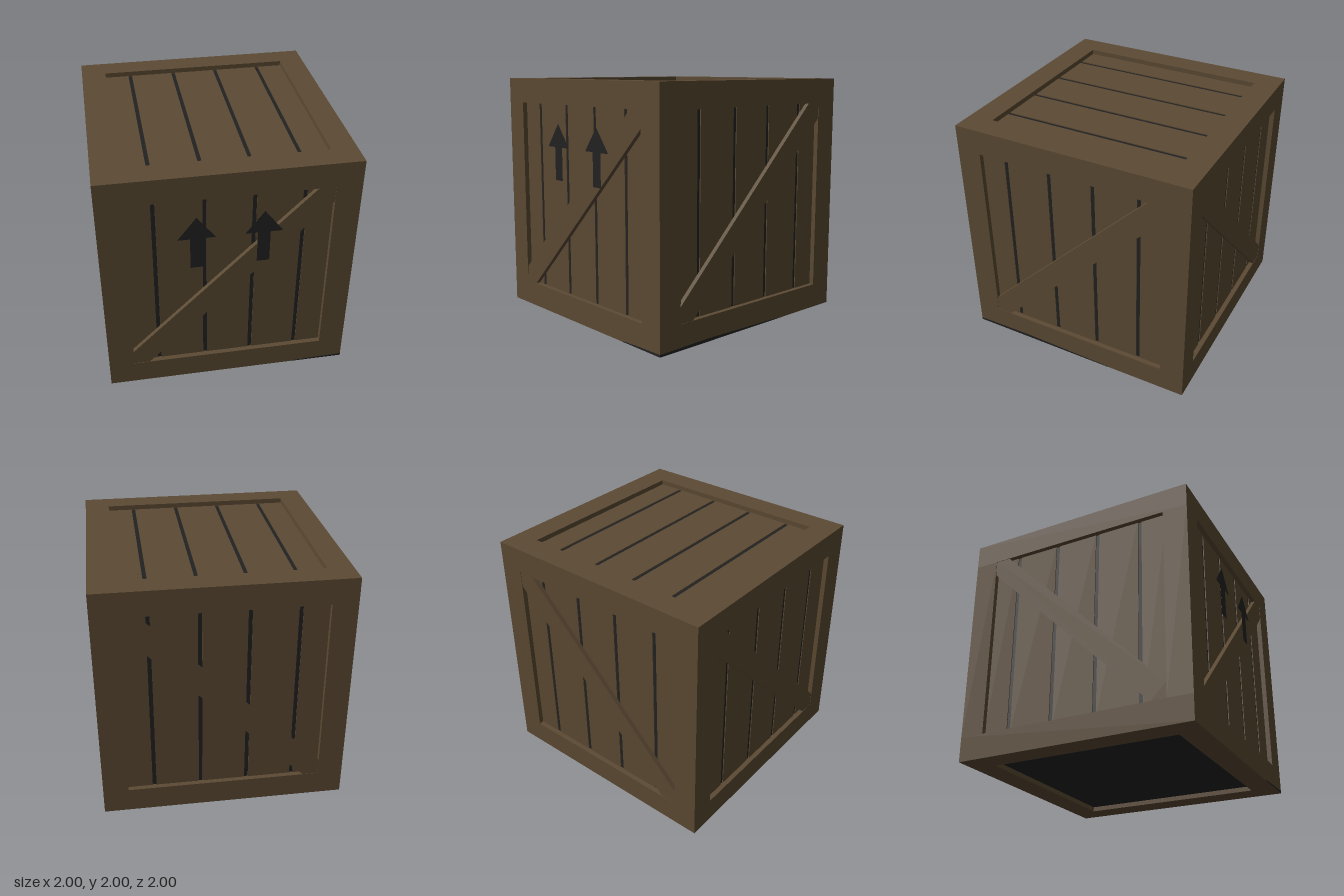
import * as THREE from 'three';

const wood = new THREE.MeshStandardMaterial({ color: 0x5c4a33 });
wood.name = 'brown wood';
const dark = new THREE.MeshStandardMaterial({ color: 0x222222, side: THREE.DoubleSide });
dark.name = 'dark paint';

const INNER = 0.795;   // half width of the opening inside the frame
const PANEL = 0.96;    // distance of the slat surface from the centre
const CORE = 0.953;    // distance of the dark core surface

function add(parent, name, geometry, material, x = 0, y = 0, z = 0) {
  const mesh = new THREE.Mesh(geometry, material);
  mesh.name = name;
  mesh.position.set(x, y, z);
  parent.add(mesh);
  return mesh;
}

function polygon(points) {
  return new THREE.Shape(points.map(([x, y]) => new THREE.Vector2(x, y)));
}

// Five upright slats separated by narrow gaps
function addSlats(face) {
  const gaps = [-0.577, -0.192, 0.188, 0.573];
  const half = 0.016;
  const edges = [-INNER - 0.02, ...gaps.flatMap((g) => [g - half, g + half]), INNER + 0.02];
  for (let i = 0; i < edges.length; i += 2) {
    const width = edges[i + 1] - edges[i];
    const geometry = new THREE.BoxGeometry(width, 2 * INNER + 0.04, PANEL - CORE);
    add(face, 'slat', geometry, wood, (edges[i] + edges[i + 1]) / 2, 0, (PANEL + CORE) / 2);
  }
}

// Diagonal brace trimmed to the opening; side = -1 leans it the other way
function addBrace(face, side) {
  const a = INNER, b = INNER - 0.13;
  const points = [[-a, -a], [-b, -a], [a, b], [a, a], [b, a], [-a, -b]];
  const shape = polygon(points.map(([x, y]) => [x * side, y]));
  const geometry = new THREE.ExtrudeGeometry(shape, { depth: 0.037, bevelEnabled: false });
  add(face, 'brace', geometry, wood, 0, 0, PANEL);
}

// Square ring of beams, lying flat
function ringGeometry() {
  const shape = polygon([[-1, -1], [1, -1], [1, 1], [-1, 1]]);
  const i = INNER;
  shape.holes.push(polygon([[-i, -i], [-i, i], [i, i], [i, -i]]));
  const geometry = new THREE.ExtrudeGeometry(shape, { depth: 1 - INNER, bevelEnabled: false });
  return geometry.rotateX(-Math.PI / 2);
}

export function createModel() {
  const crate = new THREE.Group();
  crate.name = 'crate';
  const body = new THREE.Group();
  body.name = 'body';
  body.position.y = 1;
  crate.add(body);

  // Dark core seen through the gaps and from below
  add(body, 'core', new THREE.BoxGeometry(2 * CORE, 1.913, 2 * CORE), dark, 0, -0.0035, 0);

  // Frame: top and bottom rings with four corner posts
  const ring = ringGeometry();
  add(body, 'bottomFrame', ring, wood, 0, -1, 0);
  add(body, 'topFrame', ring, wood, 0, INNER, 0);
  const thick = 1 - INNER;
  const post = new THREE.BoxGeometry(thick, 2 * INNER, thick);
  for (const x of [-1, 1]) {
    for (const z of [-1, 1]) {
      add(body, 'cornerPost', post, wood, x * (1 - thick / 2), 0, z * (1 - thick / 2));
    }
  }

  // Four slatted sides with braces
  const sides = [['front', 0, 1], ['right', 1, 1], ['back', 2, -1], ['left', 3, -1]];
  for (const [name, turn, lean] of sides) {
    const face = new THREE.Group();
    face.name = name + 'Side';
    face.rotation.y = turn * Math.PI / 2;
    addSlats(face);
    addBrace(face, lean);
    body.add(face);
  }

  // Lid
  const lid = new THREE.Group();
  lid.name = 'lid';
  lid.rotation.x = -Math.PI / 2;
  addSlats(lid);
  body.add(lid);

  // Painted arrows on the front
  const arrow = new THREE.ShapeGeometry(polygon([
    [-0.05, 0.17], [0.05, 0.17], [0.05, 0.445], [0.148, 0.445],
    [0, 0.64], [-0.148, 0.445], [-0.05, 0.445],
  ]));
  for (const x of [-0.26, 0.26]) add(body, 'arrow', arrow, dark, x, 0, 1);

  // Thin dark marks along the bottom edge at one corner
  const frontMark = polygon([[0.56, 0], [1, 0], [1, 0.02], [0.73, 0.014], [0.56, 0.006]]);
  add(crate, 'frontEdgeMark', new THREE.ShapeGeometry(frontMark), dark, 0, 0, 1.001);
  const sideMark = polygon([
    [-1, 0], [0.31, 0], [0.31, 0.006], [0, 0.014], [-0.5, 0.026], [-1, 0.02],
  ]);
  add(crate, 'sideEdgeMark', new THREE.ShapeGeometry(sideMark), dark, 1.001, 0, 0)
    .rotation.y = Math.PI / 2;

  return crate;
}
